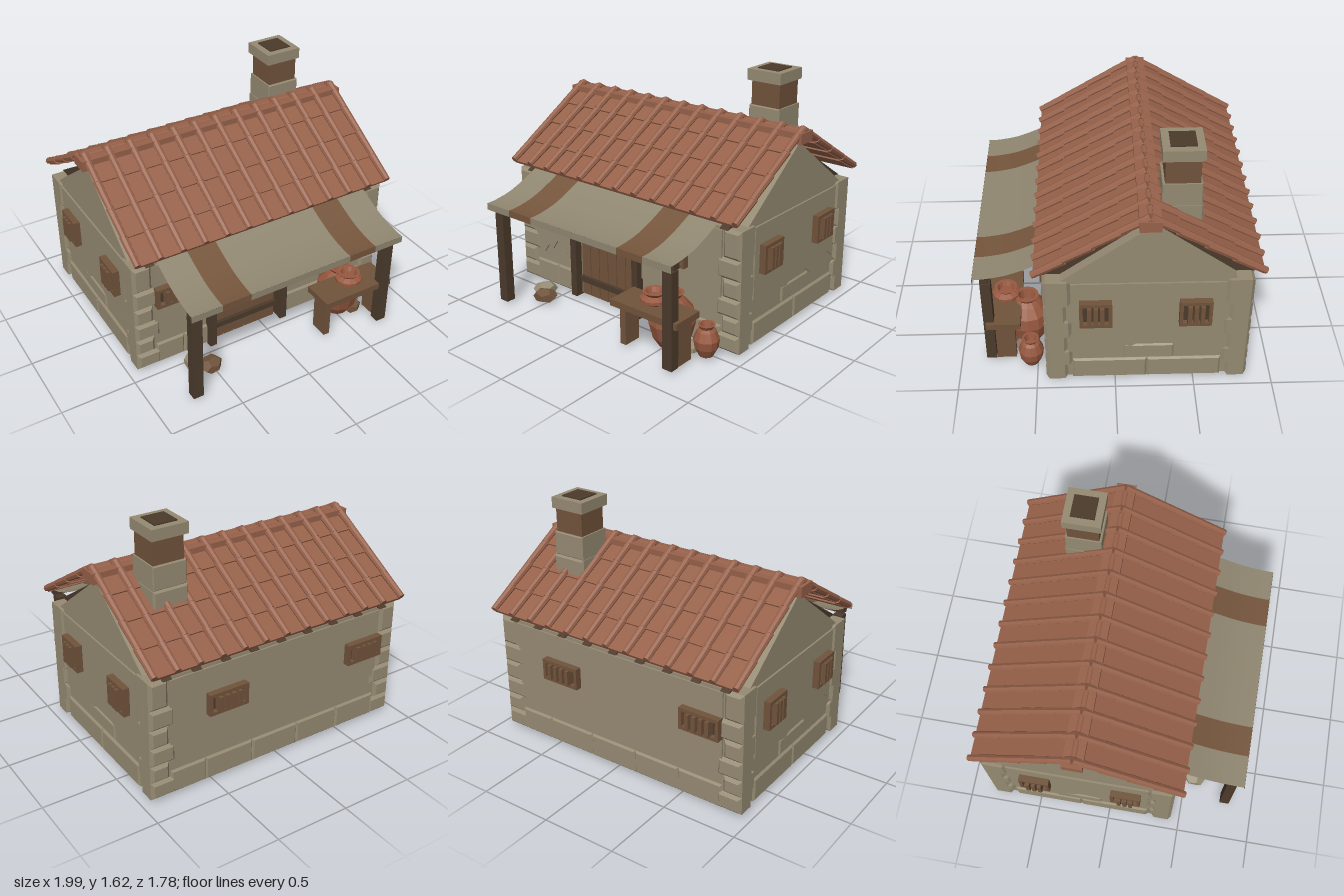
import * as THREE from 'three';

const mat = (name, color, double) => {
  const m = new THREE.MeshStandardMaterial({ color });
  m.name = name;
  if (double) m.side = THREE.DoubleSide;
  return m;
};

export function createModel() {
  const stone = mat('stone', 0x958a72), tile = mat('roof tile', 0x96614a);
  const wood = mat('wood', 0x70533b), dark = mat('dark wood', 0x4b3a2b);
  const clay = mat('clay', 0x96583f), cloth = mat('cloth', 0x8f8670, true);
  const stripe = mat('cloth stripe', 0x75553c, true);
  const root = new THREE.Group();

  const group = (name, parent = root) => {
    const g = new THREE.Group();
    g.name = name;
    parent.add(g);
    return g;
  };
  const add = (parent, name, geo, material) => {
    const m = new THREE.Mesh(geo, material);
    m.name = name;
    parent.add(m);
    return m;
  };
  const flat = (geo) => {
    const g = geo.index ? geo.toNonIndexed() : geo;
    g.computeVertexNormals();
    return g;
  };
  // Box given by its two extremes on each axis
  const box = (parent, name, m, x0, x1, y0, y1, z0, z1) => {
    const b = add(parent, name, new THREE.BoxGeometry(x1 - x0, y1 - y0, z1 - z0), m);
    b.position.set((x0 + x1) / 2, (y0 + y1) / 2, (z0 + z1) / 2);
    return b;
  };
  const shapeOf = (pts) => new THREE.Shape(pts.map(([x, y]) => new THREE.Vector2(x, y)));
  const slab = (pts, depth) => new THREE.ExtrudeGeometry(shapeOf(pts), { depth, bevelEnabled: false });
  // Masonry block with chamfered edges
  const block = (parent, name, x0, x1, y0, y1, z0, z1, c = 0.012) => {
    const geo = new THREE.ExtrudeGeometry(
      shapeOf([[x0 + c, y0 + c], [x1 - c, y0 + c], [x1 - c, y1 - c], [x0 + c, y1 - c]]),
      { depth: z1 - z0 - 2 * c, bevelSize: c, bevelThickness: c, bevelSegments: 1 });
    geo.translate(0, 0, z0 + c);
    return add(parent, name, geo, stone);
  };

  // Barred window on a wall whose outside is local +z
  const barredWindow = (wall, u, w, y0, y1) => {
    const g = group('window', wall), a = u - w / 2, b = u + w / 2, f = 0.022;
    box(g, 'windowOpening', dark, a + f, b - f, y0 + f, y1 - f, -0.02, 0.004);
    for (const y of [y0, y1 - f]) box(g, 'windowRail', wood, a, b, y, y + f, -0.03, 0.036);
    for (const x of [a, b - f]) box(g, 'windowJamb', wood, x, x + f, y0 + f, y1 - f, -0.03, 0.036);
    const n = w > 0.22 ? 4 : 3;
    for (let i = 1; i <= n; i++) {
      const x = a + f + (w - 2 * f) * i / (n + 1);
      box(g, 'windowBar', wood, x - 0.013, x + 0.013, y0 + f, y1 - f, 0.004, 0.056);
    }
  };

  // Walls: half width, jagged lower edge of the plaster, base stones, windows
  const jag = [[-1, 0.33], [-0.78, 0.27], [-0.62, 0.25], [-0.42, 0.31], [-0.22, 0.29],
    [0.02, 0.36], [0.24, 0.34], [0.42, 0.28], [0.7, 0.32], [0.86, 0.36], [1, 0.31]];
  const plaster = (wall, u0, u1, y1) => {
    const c = (u0 + u1) / 2, h = (u1 - u0) / 2;
    const m = add(wall, 'plaster', slab([...jag.map(([t, y]) => [c + t * h, y]), [u1, y1], [u0, y1]], 0.012), stone);
    m.position.z = -0.02;
  };
  const baseStones = (wall, cuts) => {
    for (let i = 0; i + 1 < cuts.length; i++)
      block(wall, 'baseStone', cuts[i], cuts[i + 1], 0.02, 0.18, -0.13, -0.006);
  };
  const placeWall = (name, x, z, ry) => {
    const g = group(name);
    g.position.set(x, 0, z);
    g.rotation.y = ry;
    return g;
  };

  const front = placeWall('frontWall', 0, 0.44, 0);
  add(front, 'wallSlab', slab([[-0.9, 0.03], [-0.38, 0.03], [-0.38, 0.63], [0.12, 0.63], [0.12, 0.03],
    [0.9, 0.03], [0.9, 0.83], [-0.9, 0.83]], 0.1), stone).position.z = -0.12;
  plaster(front, -0.8, -0.4, 0.81);
  plaster(front, 0.15, 0.8, 0.81);
  baseStones(front, [-0.8, -0.6, -0.4]);
  baseStones(front, [0.15, 0.47, 0.8]);

  const back = placeWall('backWall', 0, -0.84, Math.PI);
  box(back, 'wallSlab', stone, -0.9, 0.9, 0.03, 0.83, -0.12, -0.02);
  plaster(back, -0.8, 0.8, 0.81);
  baseStones(back, [-0.8, -0.55, -0.2, 0.15, 0.48, 0.8]);

  for (const s of [1, -1]) {
    const side = placeWall(s > 0 ? 'leftGableWall' : 'rightGableWall', 0.94 * s, -0.2, s * Math.PI / 2);
    add(side, 'gableSlab', slab([[-0.6, 0.03], [0.6, 0.03], [0.6, 0.83], [0.53, 0.83], [0, 1.225], [-0.53, 0.83],
      [-0.6, 0.83]], 0.1), stone).position.z = -0.12;
    plaster(side, -0.47, 0.47, 0.81);
    baseStones(side, [-0.47, 0, 0.47]);
    block(side, 'patchStone', s * 0.01 - 0.16, s * 0.01 + 0.16, 0.185, 0.3, -0.06, -0.01);
    barredWindow(side, -0.32 * s, 0.2, 0.495, 0.685);
    barredWindow(side, 0.29 * s, 0.2, 0.495, 0.685);
  }
  for (const [wall, s] of [[front, 1], [back, -1]])
    for (const u of [-0.66, 0.41]) barredWindow(wall, u * s, 0.28, 0.5, 0.645);

  // Corner stones, alternating long and short courses
  const courses = [0.02, 0.14, 0.255, 0.38, 0.505, 0.64, 0.83];
  for (const sx of [1, -1]) for (const sz of [1, -1]) {
    const g = group('cornerStones');
    for (let i = 0; i < 6; i++) {
      const lx = i % 2 ? 0.13 : 0.17, lz = i % 2 ? 0.17 : 0.14;
      const x = sx * 0.94, z = -0.2 + sz * 0.64;
      block(g, 'cornerStone', Math.min(x, x - sx * lx), Math.max(x, x - sx * lx), courses[i], courses[i + 1],
        Math.min(z, z - sz * lz), Math.max(z, z - sz * lz), 0.02);
    }
  }

  // Roof: rafters, overlapping pans and rounded ribs on each slope
  const roof = group('roof');
  for (let i = 0; i < 9; i++) {
    const geo = slab([[0.645, 0.825], [0.53, 0.825], [0, 1.19], [-0.53, 0.825], [-0.645, 0.825], [0, 1.235]], 0.06);
    geo.rotateY(Math.PI / 2);
    add(roof, 'rafter', geo, dark).position.set(-0.85 + i * 0.205, 0, -0.2);
  }
  const pitch = 0.155, slope = Math.atan2(0.41, 0.68), rows = 4, len = 0.795, step = len / rows;
  const ribGeo = flat(new THREE.CylinderGeometry(0.022, 0.026, step + 0.015, 8));
  ribGeo.rotateX(Math.PI / 2).rotateX(Math.PI);
  ribGeo.rotateY(Math.PI);
  const panGeo = new THREE.BoxGeometry(pitch, 0.02, step + 0.02);
  for (const s of [1, -1]) {
    const turn = group(s > 0 ? 'frontSlope' : 'backSlope', roof);
    turn.position.set(0.005, 1.3, -0.2);
    turn.rotation.y = s > 0 ? 0 : Math.PI;
    const plane = group('tiles', turn);
    plane.rotation.x = slope;
    for (let r = 0; r < rows; r++) {
      const z = step * (r + 0.5);
      for (let c = 0; c < 12; c++) {
        const p = add(plane, 'panTile', panGeo, tile);
        p.position.set((c - 5.5) * pitch, -0.008, z - 0.004);
        p.rotation.x = -0.05;
      }
      for (let c = 0; c <= 12; c++) {
        const t = add(plane, 'ribTile', ribGeo, tile);
        t.position.set((c - 6) * pitch, 0.013, z);
        t.rotation.x = -0.03;
      }
    }
  }
  box(roof, 'ridgeCap', tile, -0.97, 0.97, 1.23, 1.3, -0.265, -0.135);

  // Chimney
  const chimney = group('chimney');
  block(chimney, 'chimneyBase', 0.475, 0.715, 1.03, 1.22, -0.53, -0.27);
  block(chimney, 'chimneyLower', 0.48, 0.71, 1.22, 1.375, -0.52, -0.28, 0.005);
  box(chimney, 'chimneyShaft', wood, 0.49, 0.7, 1.37, 1.54, -0.505, -0.295);
  box(chimney, 'chimneyCap', stone, 0.465, 0.715, 1.535, 1.608, -0.525, -0.275);
  box(chimney, 'flue', dark, 0.512, 0.668, 1.607, 1.615, -0.478, -0.322);

  // Door with planks, battens and frame
  const door = group('door');
  for (let i = 0; i < 6; i++) {
    const x = -0.37 + i * 0.079;
    box(door, 'plank', wood, x, x + 0.073, 0.03, 0.56 - (i % 3) * 0.004, 0.39, 0.42);
  }
  box(door, 'doorBacking', dark, -0.38, 0.12, 0.02, 0.63, 0.375, 0.388);
  for (const y of [0.13, 0.445]) box(door, 'batten', dark, -0.37, 0.1, y, y + 0.04, 0.42, 0.445);
  for (const x of [-0.43, 0.12]) box(door, 'doorPost', dark, x, x + 0.05, 0.02, 0.63, 0.35, 0.475);
  box(door, 'lintel', dark, -0.44, 0.17, 0.63, 0.72, 0.4, 0.53);

  // Awning: sagging cloth in striped bands with a hanging hem
  const awning = group('awning');
  const sag = new THREE.SplineCurve([[0.38, 0.885], [0.5, 0.825], [0.66, 0.76], [0.8, 0.732], [0.876, 0.728]]
    .map(([z, y]) => new THREE.Vector2(z, y)));
  [-0.78, -0.57, -0.37, 0.36, 0.56, 0.775].forEach((x0, i, xs) => {
    if (i === 5) return;
    const w = xs[i + 1] - x0, m = i % 2 ? stripe : cloth;
    const geo = new THREE.PlaneGeometry(w, 1, 1, 10), p = geo.attributes.position;
    for (let k = 0; k < p.count; k++) {
      const q = sag.getPoint(0.5 - p.getY(k));
      p.setXYZ(k, p.getX(k), q.y, q.x);
    }
    geo.computeVertexNormals();
    add(awning, 'clothBand', geo, m).position.x = x0 + w / 2;
    const hem = add(awning, 'hem', new THREE.PlaneGeometry(w, 0.045), m);
    hem.position.set(x0 + w / 2, 0.706, 0.877);
  });
  for (const x of [-0.755, 0.675]) box(awning, 'awningPost', dark, x, x + 0.07, 0.02, 0.66, 0.77, 0.835);
  box(awning, 'awningBeam', dark, -0.76, 0.76, 0.68, 0.722, 0.78, 0.832);

  // Side table
  const table = group('table');
  box(table, 'tableTop', wood, 0.25, 0.77, 0.295, 0.338, 0.6, 0.82);
  for (const x of [0.28, 0.695]) box(table, 'tableLeg', wood, x, x + 0.045, 0.02, 0.295, 0.64, 0.765);

  // Clay vessels
  const vessel = (name, pts, x, y, z) => {
    const v = pts.map(([r, h]) => new THREE.Vector2(r, h));
    add(root, name, flat(new THREE.LatheGeometry(v, 12)), clay).position.set(x, y, z);
  };
  vessel('largeJar', [[0, 0], [0.08, 0], [0.125, 0.07], [0.152, 0.17], [0.14, 0.25], [0.09, 0.31], [0.06, 0.335],
    [0.078, 0.362], [0.055, 0.362], [0.04, 0.3], [0, 0.3]], 0.53, 0.015, 0.565);
  vessel('smallJar', [[0, 0], [0.045, 0], [0.075, 0.06], [0.083, 0.115], [0.06, 0.17], [0.04, 0.185], [0.055, 0.21],
    [0.04, 0.21], [0.028, 0.17], [0, 0.17]], 0.78, 0.02, 0.54);
  vessel('bowl', [[0, 0], [0.04, 0], [0.09, 0.03], [0.09, 0.05], [0.055, 0.068], [0.075, 0.09], [0.055, 0.09],
    [0.04, 0.06], [0, 0.06]], 0.505, 0.338, 0.7);

  // Loose rocks
  const rockGeo = new THREE.DodecahedronGeometry(1);
  const rock = (x, z, rx, ry, rz, turn, m) => {
    const r = add(root, 'rock', rockGeo, m);
    r.position.set(x, ry * 0.93, z);
    r.scale.set(rx, ry, rz);
    r.rotation.y = turn;
  };
  rock(-0.52, 0.64, 0.085, 0.05, 0.07, 0.4, wood);
  rock(-0.6, 0.56, 0.085, 0.05, 0.07, 1.1, stone);
  rock(0.61, 0.63, 0.075, 0.045, 0.06, 0.2, wood);
  rock(0.66, 0.54, 0.065, 0.038, 0.07, 0.9, stone);

  return root;
}
